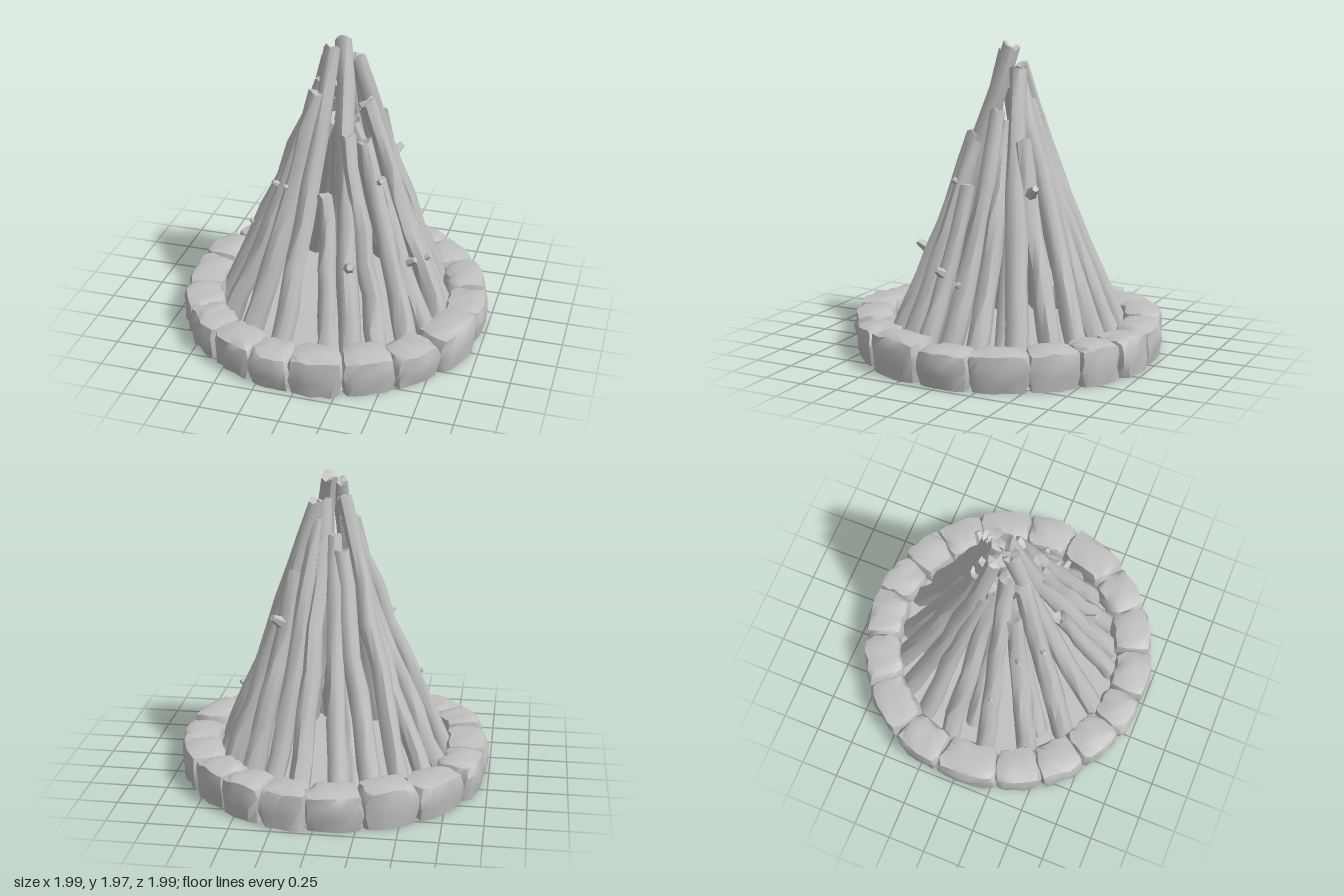
import * as THREE from 'three';
import { toCreasedNormals } from 'three/addons/utils/BufferGeometryUtils.js';

const stoneGrey = new THREE.MeshStandardMaterial({ color: 0xc0c0c0 });
stoneGrey.name = 'plain grey';

// Repeatable noise in -1..1 from a position, so shared corners stay joined
function noise(x, y, z, seed) {
  const q = (v) => Math.round(v * 1000) / 1000 + 0;
  const s = Math.sin(q(x) * 12.9898 + q(y) * 78.233 + q(z) * 37.719 + seed * 4.137) * 43758.5453;
  return (s - Math.floor(s)) * 2 - 1;
}

// Move every vertex by a rule
function reshape(geometry, rule) {
  const p = geometry.attributes.position;
  const v = new THREE.Vector3();
  for (let i = 0; i < p.count; i++) {
    rule(v.fromBufferAttribute(p, i));
    p.setXYZ(i, v.x, v.y, v.z);
  }
  return geometry;
}

function addMesh(parent, geometry, name, crease) {
  const mesh = new THREE.Mesh(toCreasedNormals(geometry, crease), stoneGrey);
  mesh.name = name;
  parent.add(mesh);
  return mesh;
}

// A worn block bent along the ring between two angles
function stoneGeometry(from, to, seed) {
  const mid = (from + to) / 2;
  const half = (to - from) / 2;
  const height = 0.235 + 0.018 * noise(seed, 1, 2, 3);
  const shift = 0.012 * noise(seed, 4, 5, 6);
  return reshape(new THREE.BoxGeometry(2, 2, 2, 4, 3, 5), (v) => {
    const [x, y, z] = [v.x, v.y, v.z];
    const n = 5;
    const k = 1 / Math.pow(Math.abs(x) ** n + Math.abs(y) ** n + Math.abs(z) ** n, 1 / n);
    const r = 0.862 + shift + x * k * 0.128 + 0.012 * noise(x, y, z, seed);
    const a = mid + z * k * half * 1.07 + 0.012 * noise(x, y, z, seed + 50);
    const h = y < -0.9 ? 0.01 : 0.015 + height * (y * k + 1) / 2 + 0.008 * noise(x, y, z, seed + 90);
    v.set(r * Math.cos(a), h, r * Math.sin(a));
  });
}

// A rough, slightly bowed log from base to tip
function logGeometry(base, tip, radius, seed) {
  const length = base.distanceTo(tip);
  const turn = new THREE.Quaternion().setFromUnitVectors(
    new THREE.Vector3(0, 1, 0), tip.clone().sub(base).normalize());
  const bow = new THREE.Vector3(-base.x, 0, -base.z).normalize().multiplyScalar(0.025);
  bow.x += 0.015 * noise(seed, 7, 8, 9);
  bow.z += 0.015 * noise(seed, 9, 8, 7);
  return reshape(new THREE.CylinderGeometry(0.72, 1, 1, 9, 7), (v) => {
    const t = v.y + 0.5;
    const swell = radius * (1 + 0.1 * noise(v.x, v.y, v.z, seed));
    const wander = 0.01 * noise(t, 0, 0, seed);
    const end = t > 0.99 ? 0.02 * noise(v.x, 1, v.z, seed) : 0;
    v.set(v.x * swell + wander, t * length + end, v.z * swell - wander);
    v.applyQuaternion(turn).add(base).addScaledVector(bow, Math.sin(t * Math.PI));
  });
}

// Base x, base z, tip x, tip y, tip z, radius
const LOGS = [
  [0.14, -0.71, 0.05, 1.8, -0.08, 0.07],
  [-0.11, -0.70, -0.01, 1.6, -0.13, 0.068],
  [-0.33, -0.66, -0.06, 1.5, -0.16, 0.072],
  [-0.49, -0.53, -0.07, 1.82, -0.05, 0.066],
  [-0.62, -0.36, -0.15, 1.45, -0.1, 0.066],
  [-0.70, -0.14, -0.12, 1.5, -0.03, 0.068],
  [-0.72, 0.12, -0.08, 1.68, 0.03, 0.068],
  [-0.61, 0.38, -0.18, 1.35, 0.11, 0.07],
  [-0.41, 0.57, -0.09, 1.64, 0.13, 0.076],
  [-0.17, 0.71, -0.03, 1.91, 0.03, 0.07],
  [0.13, 0.71, 0.03, 1.05, 0.34, 0.064],
  [0.27, 0.66, 0.04, 1.94, -0.04, 0.074],
  [0.44, 0.57, 0.12, 1.4, 0.17, 0.07],
  [0.58, 0.41, 0.22, 1.35, 0.12, 0.07],
  [0.68, 0.24, 0.3, 1.1, 0.13, 0.066],
  [0.72, 0.06, 0.2, 1.55, -0.03, 0.072],
  [0.70, -0.13, 0.17, 1.5, -0.06, 0.072],
  [0.62, -0.37, 0.1, 1.8, -0.12, 0.076],
  [0.47, -0.54, 0.22, 1.38, -0.2, 0.074],
  [0.31, -0.64, 0.1, 1.7, -0.13, 0.07],
  // Thinner logs filling the gaps behind
  [0.60, 0.14, 0.12, 1.4, 0.02, 0.06],
  [0.55, -0.24, 0.1, 1.4, -0.08, 0.06],
  [-0.46, 0.42, -0.08, 1.4, 0.06, 0.055],
  [-0.57, -0.02, -0.06, 1.4, 0, 0.055],
  [-0.2, -0.58, -0.03, 1.4, -0.08, 0.055],
];

// Broken branch stubs: log index, position along it, size
const STUBS = [[18, 0.76, 0.07], [14, 0.48, 0.06], [7, 0.72, 0.05], [11, 0.3, 0.07],
  [15, 0.3, 0.05], [6, 0.35, 0.045], [13, 0.8, 0.05], [8, 0.62, 0.045]];

// Angles in degrees where neighbouring stones meet
const JOINTS = [-87, -70, -53, -34, -12, 8, 33, 52, 72, 92, 108, 127, 145, 163, 188, 208, 231, 252, 273];

export function createModel() {
  const model = new THREE.Group();
  model.name = 'campfire';

  // Flat bed under the fire
  const bed = new THREE.CylinderGeometry(0.86, 0.9, 0.05, 48);
  bed.translate(0, 0.035, 0);
  addMesh(model, bed, 'groundBed', 0.5);

  // Ring of stones
  const ring = new THREE.Group();
  ring.name = 'stoneRing';
  model.add(ring);
  for (let i = 0; i < JOINTS.length - 1; i++) {
    const [a, b] = [JOINTS[i], JOINTS[i + 1]].map(THREE.MathUtils.degToRad);
    addMesh(ring, stoneGeometry(a, b, i + 1), 'stone', 0.75);
  }

  // Cone of leaning logs
  const pile = new THREE.Group();
  pile.name = 'logPile';
  model.add(pile);
  LOGS.forEach(([bx, bz, tx, ty, tz, radius], i) => {
    const base = new THREE.Vector3(bx, 0.07, bz);
    addMesh(pile, logGeometry(base, new THREE.Vector3(tx, ty, tz), radius, i + 1), 'log', 0.8);
  });

  // Stubs pointing outward and up from the logs
  for (const [index, t, size] of STUBS) {
    const [bx, bz, tx, ty, tz] = LOGS[index];
    const stub = addMesh(pile, new THREE.CylinderGeometry(size * 0.3, size * 0.75, size * 2, 6), 'branchStub', 0.8);
    const out = new THREE.Vector3(bx, 0.45, bz).normalize();
    stub.quaternion.setFromUnitVectors(new THREE.Vector3(0, 1, 0), out);
    stub.position.set(bx, 0.07, bz).lerp(new THREE.Vector3(tx, ty, tz), t).addScaledVector(out, size * 0.5);
  }
  return model;
}
